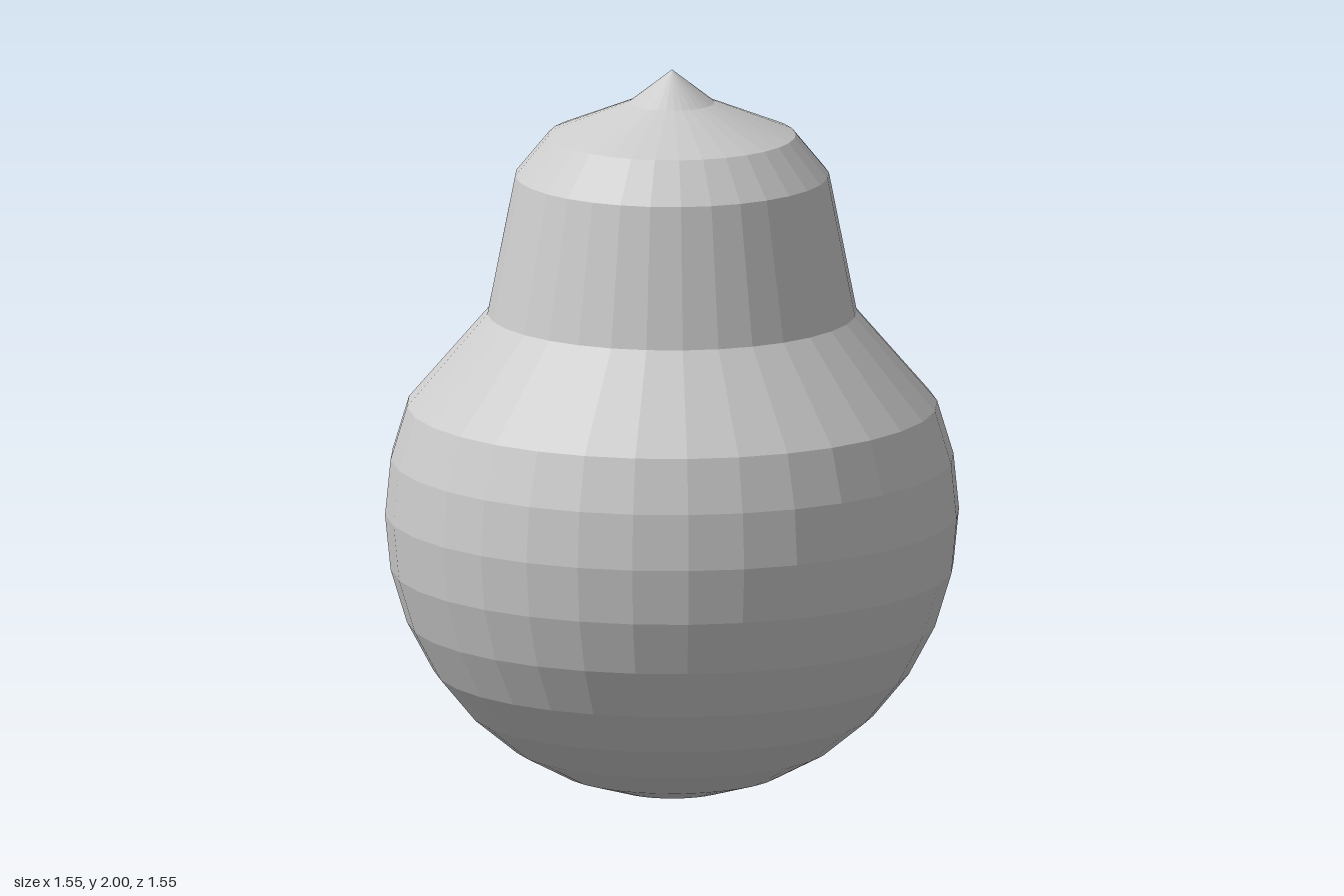
import * as THREE from 'three';

export function createModel() {
  const group = new THREE.Group();
  const material = new THREE.MeshStandardMaterial({ color: 0xcccccc, flatShading: true });
  const radius = 0.777, sides = 32, step = Math.PI / 16;

  // Round belly: arc from the bottom pole to just above the equator
  const profile = [];
  for (let i = 0; i <= 10; i++) {
    profile.push(new THREE.Vector2(radius * Math.sin(i * step), radius * (1 - Math.cos(i * step)) + 0.002));
  }
  profile[0].set(0, 0);

  // Shoulder, tapering neck, domed cap and pointed tip
  const upper = [[0.5, 1.33], [0.425, 1.71], [0.335, 1.82], [0.115, 1.91], [0, 2]];
  for (const [r, y] of upper) profile.push(new THREE.Vector2(r, y));

  const body = new THREE.Mesh(new THREE.LatheGeometry(profile, sides), material);
  body.name = 'gourdBody';
  group.add(body);
  return group;
}
